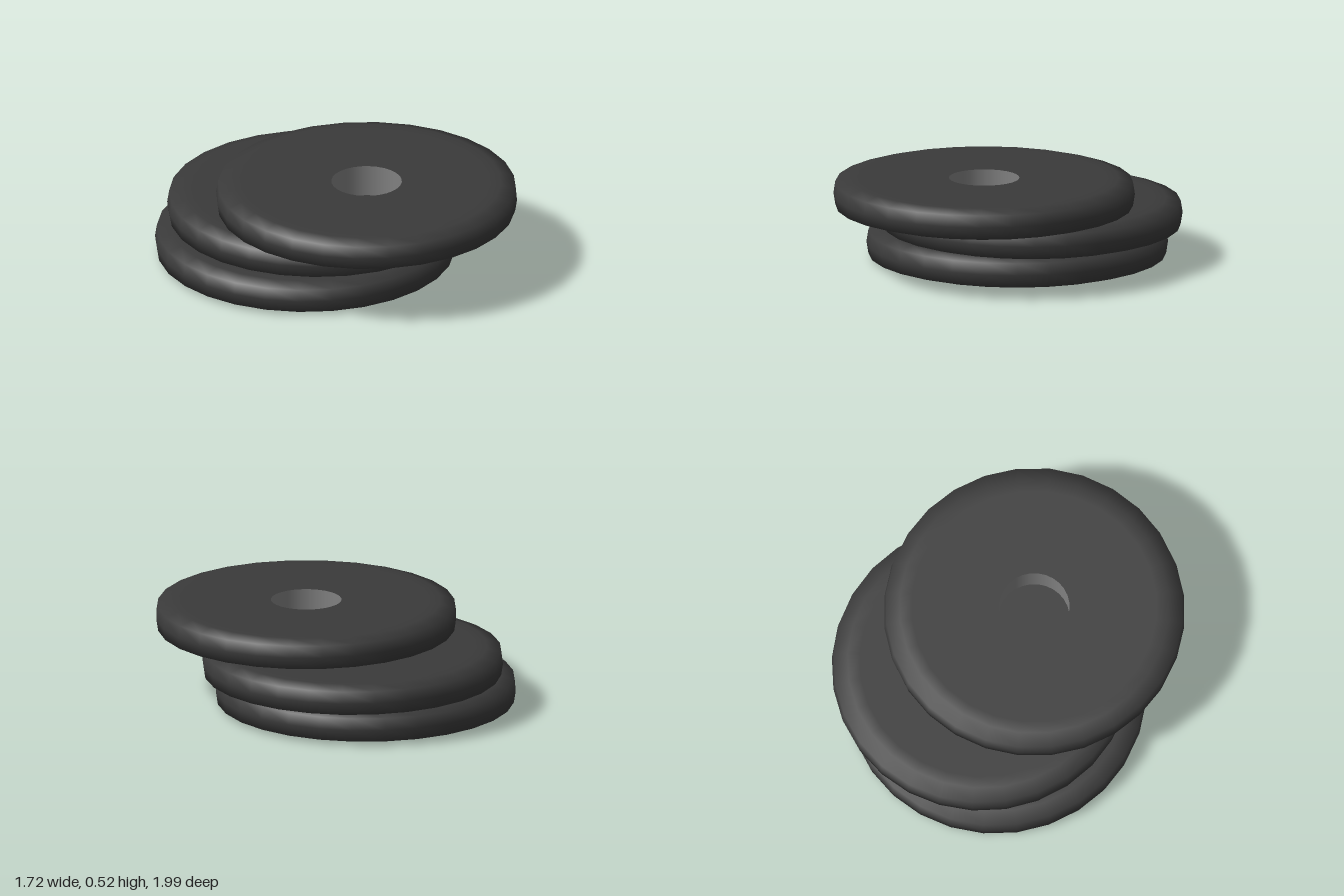
import * as THREE from 'three';

const SEGMENTS = 28;
const THICK = 0.172;

// One round plate with a bevelled rim and a bore through its middle
function makePlate(name, bore, rubber, steel) {
  const plate = new THREE.Group();
  plate.name = name;

  // Rim and both faces, from the lower bore edge round to the upper one
  const half = [[bore, 0], [0.66, 0], [0.725, 0], [0.8, 0.022], [0.81, THICK / 2]];
  const upper = half.slice(0, -1).reverse().map(([r, y]) => [r, THICK - y]);
  const profile = [...half, ...upper].map(([r, y]) => new THREE.Vector2(r, y));
  const disc = new THREE.Mesh(new THREE.LatheGeometry(profile, SEGMENTS), rubber);
  disc.name = 'disc';

  // Bore wall, facing inward
  const wall = [new THREE.Vector2(bore, THICK), new THREE.Vector2(bore, 0)];
  const boreWall = new THREE.Mesh(new THREE.LatheGeometry(wall, SEGMENTS), steel);
  boreWall.name = 'boreWall';

  plate.add(disc, boreWall);
  return plate;
}

export function createModel() {
  const rubber = new THREE.MeshStandardMaterial({ color: 0x3a3a3a });
  rubber.name = 'dark rubber';
  const steel = new THREE.MeshStandardMaterial({ color: 0x808080 });
  steel.name = 'grey steel';

  const model = new THREE.Group();
  model.name = 'plateStack';

  // Loose stack: name, x, z, bore radius, turn in degrees
  const stack = [
    ['bottomPlate', -0.05, -0.187, 0.115, 0],
    ['middlePlate', 0.05, -0.187, 0.19, 1],
    ['topPlate', 0.02, 0.187, 0.19, -1.4],
  ];
  stack.forEach(([name, x, z, bore, turn], i) => {
    const plate = makePlate(name, bore, rubber, steel);
    plate.position.set(x, i * THICK, z);
    plate.rotation.y = THREE.MathUtils.degToRad(turn);
    model.add(plate);
  });
  return model;
}
